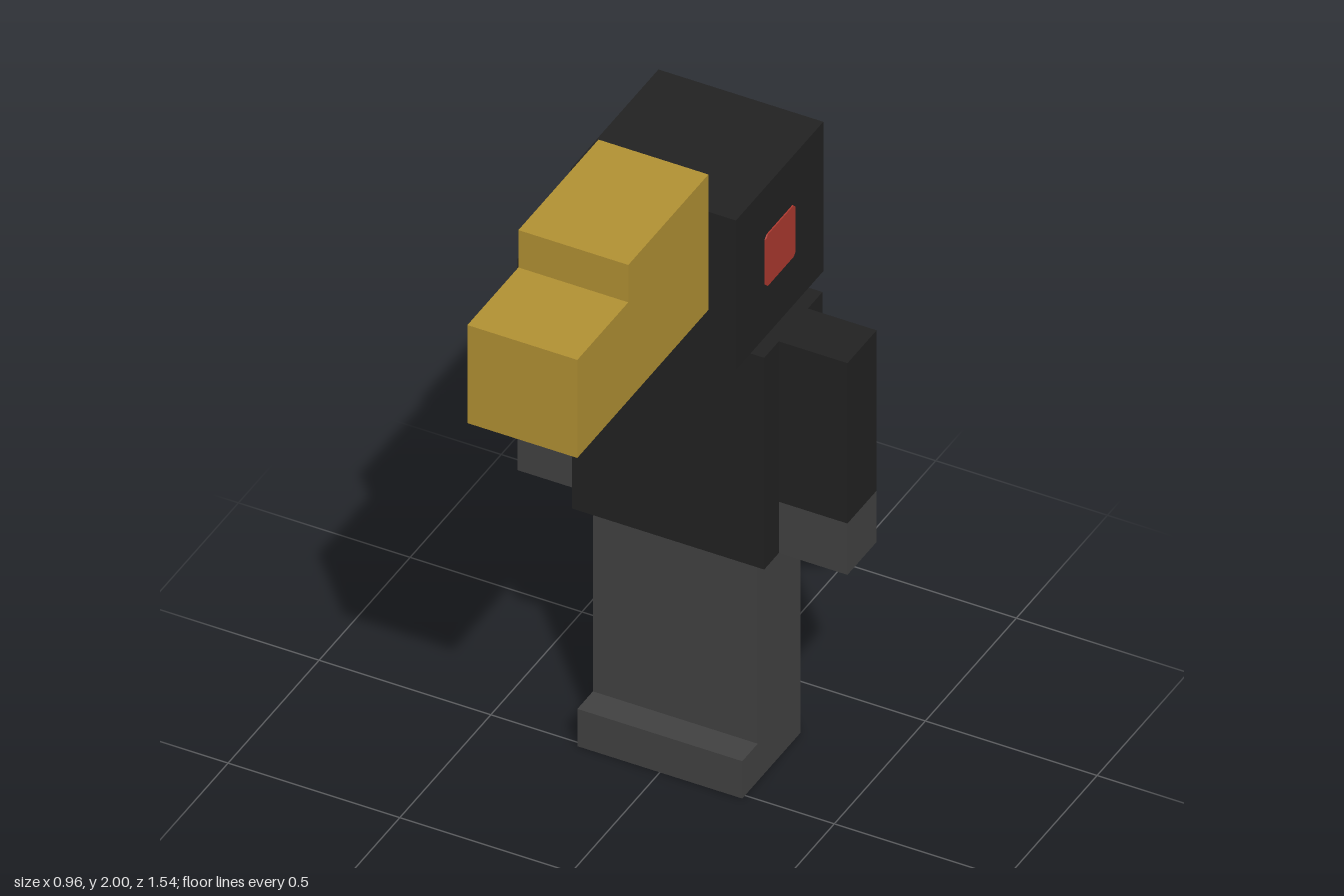
import * as THREE from 'three';

const paint = (name, color) => {
  const m = new THREE.MeshStandardMaterial({ color });
  m.name = name;
  return m;
};

export function createModel() {
  const model = new THREE.Group();
  model.name = 'blockyBirdFigure';

  const black = paint('black', 0x222222);
  const grey = paint('darkGrey', 0x424242);
  const gold = paint('gold', 0xb39234);
  const red = paint('red', 0xad392f);
  const pale = paint('paleGrey', 0xd6d2c9);

  const add = (name, geometry, material) => {
    const mesh = new THREE.Mesh(geometry, material);
    mesh.name = name;
    model.add(mesh);
    return mesh;
  };

  // Box given by its extent along each axis
  const box = (name, material, [x0, x1], [y0, y1], [z0, z1]) => {
    const mesh = add(name, new THREE.BoxGeometry(x1 - x0, y1 - y0, z1 - z0), material);
    mesh.position.set((x0 + x1) / 2, (y0 + y1) / 2, (z0 + z1) / 2);
    return mesh;
  };

  // Side outline of (z, y) points, extruded across x and centred on cx
  const slab = (name, material, points, width, cx = 0) => {
    const shape = new THREE.Shape(points.map(([z, y]) => new THREE.Vector2(z, y)));
    const geometry = new THREE.ExtrudeGeometry(shape, { depth: width, bevelEnabled: false });
    geometry.rotateY(-Math.PI / 2).translate(cx + width / 2, 0, 0);
    return add(name, geometry, material);
  };

  // Head and body
  box('head', black, [-0.24, 0.24], [1.4, 1.88], [-0.43, 0.05]);
  box('body', black, [-0.28, 0.28], [0.72, 1.4], [-0.35, -0.03]);

  // Stepped beak
  slab('beak', gold, [
    [0.05, 1.565], [0.77, 1.565], [0.77, 1.88], [0.49, 1.88], [0.49, 2], [0.05, 2],
  ], 0.32);

  // Legs with the feet stepping forward
  slab('legs', grey, [
    [-0.305, 0], [0.015, 0], [0.015, 0.12], [-0.07, 0.12], [-0.07, 0.72], [-0.305, 0.72],
  ], 0.48);

  // Arms, hands and eyes on both sides
  for (const [side, s] of [['left', 1], ['right', -1]]) {
    const across = [s * 0.28, s * 0.48].sort((a, b) => a - b);
    box(`${side}Arm`, black, across, [0.885, 1.4], [-0.27, -0.11]);
    box(`${side}Hand`, grey, across, [0.72, 0.885], [-0.27, -0.11]);

    const c = 0.01;
    slab(`${side}Eye`, red, [
      [-0.27 + c, 1.56], [-0.108 - c, 1.56], [-0.108, 1.56 + c], [-0.108, 1.725 - c],
      [-0.108 - c, 1.725], [-0.27 + c, 1.725], [-0.27, 1.725 - c], [-0.27, 1.56 + c],
    ], 0.006, s * 0.241);
  }

  // Slanted tail plate
  const tail = add('tail', new THREE.BoxGeometry(0.4, 0.078, 0.562), pale);
  tail.position.set(0, 0.645, -0.543);
  tail.rotation.x = -Math.PI / 4;

  return model;
}
